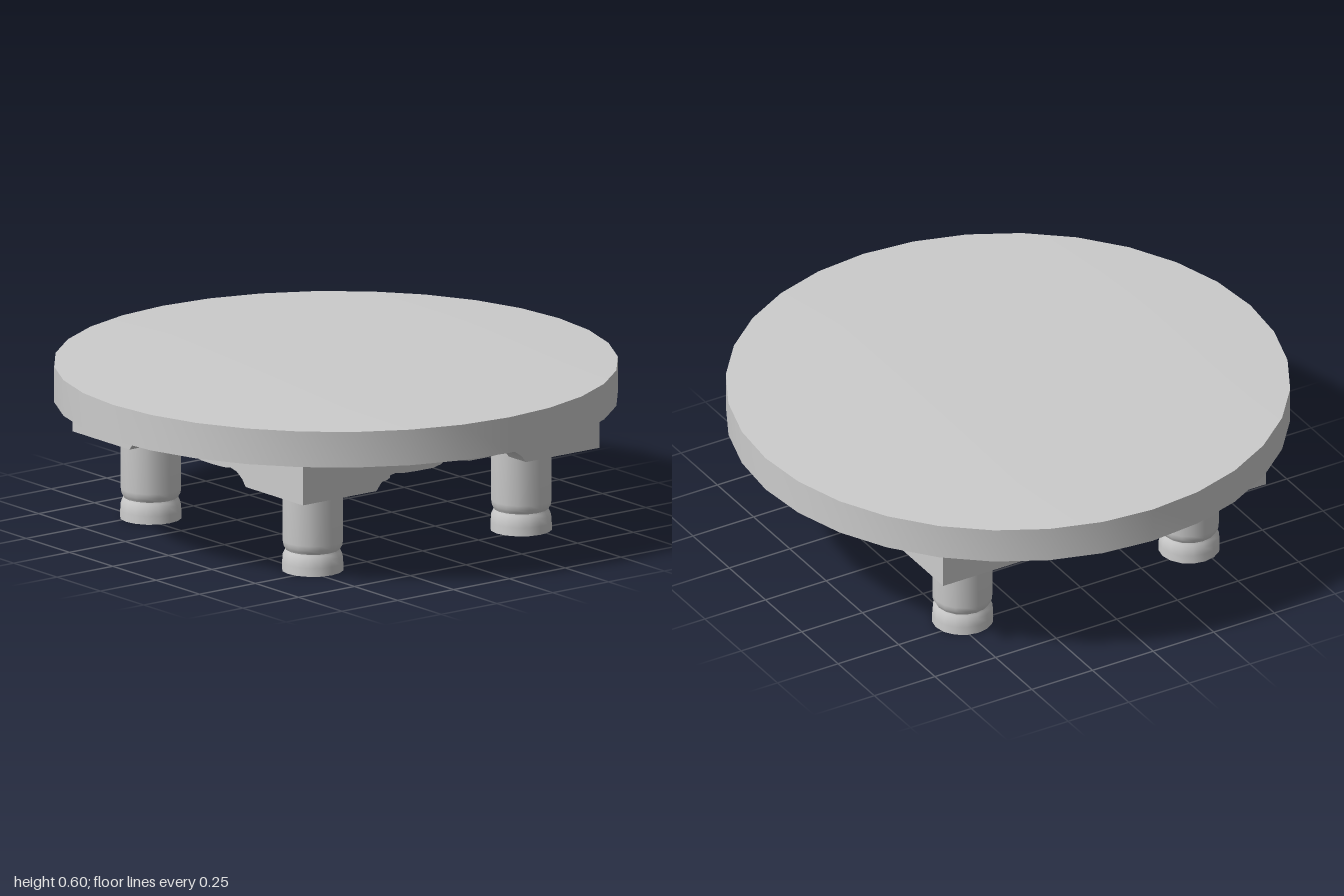
import * as THREE from 'three';
import { toCreasedNormals } from 'three/addons/utils/BufferGeometryUtils.js';

const material = new THREE.MeshStandardMaterial({ color: 0xcccccc });

function addMesh(parent, geometry, name) {
  const mesh = new THREE.Mesh(geometry, material);
  mesh.name = name;
  parent.add(mesh);
  return mesh;
}

function lathe(profile, sides) {
  const points = profile.map(([r, y]) => new THREE.Vector2(r, y));
  return toCreasedNormals(new THREE.LatheGeometry(points, sides), 0.7);
}

// Board with a scalloped lower edge, mirrored about a central cusp
function apronGeometry(half, thickness) {
  const scallop = [[0.335, 0.305], [0.315, 0.33], [0.285, 0.35], [0.25, 0.358],
    [0.21, 0.352], [0.15, 0.35], [0.08, 0.35], [0.045, 0.358], [0.02, 0.375]];
  const mirrored = scallop.map(([x, y]) => [-x, y]);
  const outline = [[-half, 0.46], [-half, 0.305], ...mirrored, [0, 0.393],
    ...scallop.reverse(), [half, 0.305], [half, 0.46]];
  const shape = new THREE.Shape(outline.map(([x, y]) => new THREE.Vector2(x, y)));
  const geometry = new THREE.ExtrudeGeometry(shape, { depth: thickness, bevelEnabled: false });
  return toCreasedNormals(geometry, 0.6);
}

function rectangle(PathType, a, b) {
  return new PathType([[-a, -b], [a, -b], [a, b], [-a, b]].map(([x, y]) => new THREE.Vector2(x, y)));
}

export function createModel() {
  const model = new THREE.Group();
  model.name = 'roundTable';

  // Round top with a very slight crown
  addMesh(model, lathe([[0, 0.46], [1, 0.46], [1, 0.59], [0.69, 0.597], [0, 0.6]], 32), 'tableTop');

  // Square skirt: long boards front and back, short boards between them
  const outer = 0.665, thickness = 0.1;
  const names = ['frontApron', 'leftApron', 'backApron', 'rightApron'];
  names.forEach((name, i) => {
    const half = i % 2 ? outer - thickness : outer;
    const geometry = apronGeometry(half, thickness).translate(0, 0, outer - thickness);
    addMesh(model, geometry, name).rotation.y = i * Math.PI / 2;
  });

  // Open rectangular frame under the top
  const frame = rectangle(THREE.Shape, 0.52, 0.39);
  frame.holes.push(rectangle(THREE.Path, 0.42, 0.285));
  const frameGeometry = new THREE.ExtrudeGeometry(frame, { depth: 0.075, bevelEnabled: false });
  frameGeometry.rotateX(-Math.PI / 2).translate(0, 0.385, 0);
  addMesh(model, frameGeometry, 'underFrame');

  // Turned legs with a grooved foot
  const legProfile = [[0, 0], [0.11, 0], [0.109, 0.03], [0.107, 0.055], [0.1, 0.07], [0.097, 0.077],
    [0.1, 0.083], [0.106, 0.093], [0.108, 0.11], [0.108, 0.46], [0, 0.46]];
  const legGeometry = lathe(legProfile, 16);
  for (const x of [-1, 1]) {
    for (const z of [-1, 1]) {
      const name = (z > 0 ? 'front' : 'back') + (x > 0 ? 'Left' : 'Right') + 'Leg';
      addMesh(model, legGeometry, name).position.set(x * 0.467, 0, z * 0.467);
    }
  }
  return model;
}
